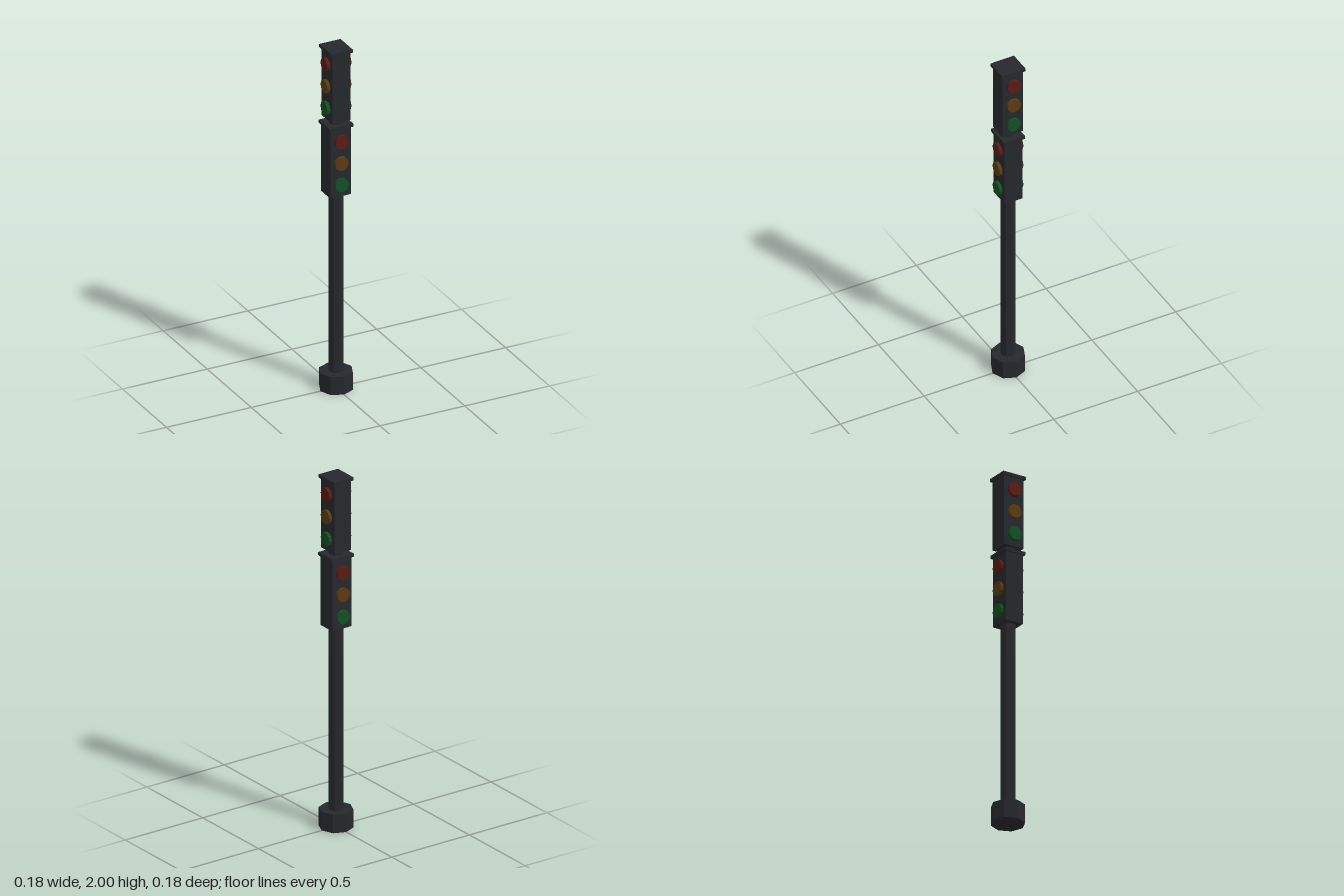
import * as THREE from 'three';

const mat = (color) => new THREE.MeshStandardMaterial({ color, flatShading: true });

export function createModel() {
  const model = new THREE.Group();
  model.name = 'trafficLight';
  const metal = mat(0x25282c);
  const lenses = [
    ['redLens', 0.324, mat(0x5a1a14)],
    ['amberLens', 0.197, mat(0x5a3a12)],
    ['greenLens', 0.07, mat(0x124f22)],
  ];

  const add = (parent, name, geometry, material, x, y, z) => {
    const mesh = new THREE.Mesh(geometry, material);
    mesh.name = name;
    mesh.position.set(x, y, z);
    parent.add(mesh);
    return mesh;
  };

  // Octagonal foot and pole
  add(model, 'base', new THREE.CylinderGeometry(0.092, 0.092, 0.105, 8), metal, 0, 0.0525, 0);
  add(model, 'pole', new THREE.CylinderGeometry(0.041, 0.041, 1.5, 8), metal, 0, 0.85, 0);

  // Signal head: housing, cap, and three lenses on the front and back
  const signalHead = (name, y, turn) => {
    const head = new THREE.Group();
    head.name = name;
    add(head, 'housing', new THREE.BoxGeometry(0.122, 0.397, 0.106), metal, 0, 0.1985, 0);
    add(head, 'cap', new THREE.BoxGeometry(0.14, 0.018, 0.126), metal, 0, 0.406, 0);
    for (const side of [1, -1]) {
      for (const [lensName, height, material] of lenses) {
        const lens = add(head, lensName, new THREE.CylinderGeometry(0.039, 0.039, 0.03, 12),
          material, 0, height, side * 0.056);
        lens.rotation.x = side * Math.PI / 2;
      }
    }
    head.position.y = y;
    head.rotation.y = turn;
    model.add(head);
  };
  signalHead('lowerSignal', 1.146, 0);
  signalHead('upperSignal', 1.585, Math.PI / 2);

  return model;
}
